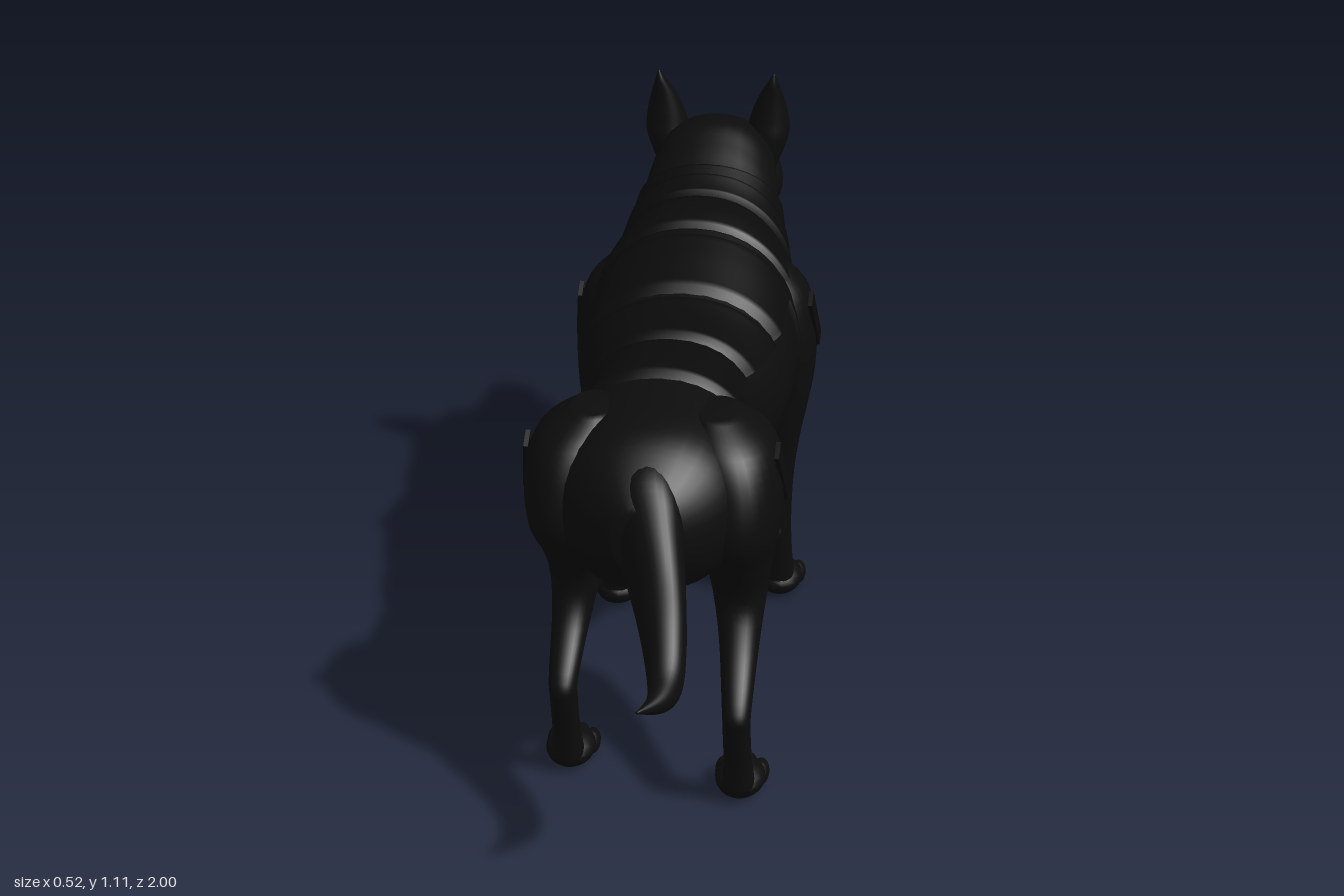
import * as THREE from 'three';

const coat = new THREE.MeshStandardMaterial({ color: 0x0c0c0c });
coat.name = 'black coat';
const gear = new THREE.MeshStandardMaterial({ color: 0x0a0a0a, side: THREE.DoubleSide });
gear.name = 'black harness';

const SEG = 32;

// Catmull-Rom through every column of a ring table
function smooth(rows, sub = 5) {
  const out = [];
  const at = (i) => rows[Math.min(rows.length - 1, Math.max(0, i))];
  for (let i = 0; i < rows.length - 1; i++)
    for (let s = 0; s < sub; s++) {
      const u = s / sub;
      out.push(rows[i].map((p1, k) => {
        const p0 = at(i - 1)[k], p2 = at(i + 1)[k], p3 = at(i + 2)[k];
        return p1 + 0.5 * u * (p2 - p0 + u * (2 * p0 - 5 * p1 + 4 * p2 - p3 + u * (3 * (p1 - p2) + p3 - p0)));
      }));
    }
  out.push(rows[rows.length - 1]);
  return out;
}

// Point on a slightly squared ellipse
function rim(angle, ra, rb) {
  const c = Math.cos(angle), s = Math.sin(angle), e = 0.92;
  return [Math.sign(c) * Math.abs(c) ** e * ra, Math.sign(s) * Math.abs(s) ** e * rb];
}

function geometry(pos, idx) {
  const g = new THREE.BufferGeometry();
  g.setAttribute('position', new THREE.Float32BufferAttribute(pos, 3));
  g.setIndex(idx);
  g.computeVertexNormals();
  return g;
}

// Closed skin over rings [t, a, b, ra, rb]; t runs along z (a=x, b=y) or y (a=x, b=z)
function loft(rows, axis) {
  const rings = smooth(rows), pos = [], idx = [];
  const put = (t, a, b) => (axis === 'z' ? pos.push(a, b, t) : pos.push(a, t, b));
  const tri = (a, b, c) => (axis === 'z' ? idx.push(a, b, c) : idx.push(a, c, b));
  for (const [t, a, b, ra, rb] of rings)
    for (let j = 0; j < SEG; j++) {
      const [u, v] = rim((j / SEG) * Math.PI * 2, ra, rb);
      put(t, a + u, b + v);
    }
  const n = rings.length, first = n * SEG, last = first + 1;
  put(...rings[0].slice(0, 3));
  put(...rings[n - 1].slice(0, 3));
  for (let j = 0; j < SEG; j++) {
    const k = (j + 1) % SEG;
    for (let i = 0; i < n - 1; i++) {
      const p = i * SEG, q = p + SEG;
      tri(p + j, p + k, q + k);
      tri(p + j, q + k, q + j);
    }
    tri(first, k, j);
    tri(last, first - SEG + j, first - SEG + k);
  }
  return geometry(pos, idx);
}

// [z, x, top, bottom, half width] to loft rings
const span = (rows) => rows.map(([z, x, top, bot, w]) => [z, x, (top + bot) / 2, w, (top - bot) / 2]);

const bodyRings = span([
  [-1.0, 0, 0.875, 0.82, 0.035], [-0.985, 0, 0.885, 0.81, 0.052], [-0.93, 0, 0.882, 0.805, 0.06],
  [-0.85, 0, 0.893, 0.795, 0.073], [-0.8, 0, 0.93, 0.78, 0.092], [-0.74, 0, 0.975, 0.77, 0.118],
  [-0.67, 0, 1.005, 0.755, 0.13], [-0.59, 0, 1.017, 0.715, 0.138], [-0.52, 0, 0.99, 0.64, 0.152],
  [-0.45, 0, 0.955, 0.55, 0.168], [-0.37, 0, 0.925, 0.44, 0.19], [-0.27, 0, 0.917, 0.397, 0.212],
  [-0.155, 0, 0.885, 0.41, 0.22], [0.03, 0, 0.832, 0.455, 0.205], [0.18, 0, 0.825, 0.51, 0.165],
  [0.29, 0, 0.828, 0.515, 0.16], [0.42, 0, 0.818, 0.48, 0.19], [0.55, 0, 0.802, 0.475, 0.18],
  [0.63, 0, 0.757, 0.51, 0.13], [0.69, 0, 0.7, 0.58, 0.05],
]);
const bodyTable = smooth(bodyRings, 8);

function bodyAt(z) {
  const i = Math.max(1, bodyTable.findIndex((r) => r[0] >= z));
  const p = bodyTable[i - 1], q = bodyTable[i], u = (z - p[0]) / (q[0] - p[0]);
  return p.map((v, k) => v + (q[k] - v) * u);
}

// Padded cover hugging the body between two z stations; lean slants it with height
function cover(z0, z1, a0, a1, thick, lean = 0) {
  const pos = [], idx = [], rows = 12, cols = 40;
  for (let i = 0; i <= rows; i++)
    for (let j = 0; j <= cols; j++) {
      const angle = a0 + ((a1 - a0) * j) / cols;
      const z = z0 + ((z1 - z0) * i) / rows + lean * Math.sin(angle);
      const edge = i === 0 || i === rows ? -0.004 : thick;
      const [, x, y, w, h] = bodyAt(z);
      const [u, v] = rim(angle, w + edge, h + edge);
      pos.push(x + u, y + v, z);
      if (i < rows && j < cols) {
        const p = i * (cols + 1) + j, q = p + cols + 1;
        idx.push(p, p + 1, q + 1, p, q + 1, q);
      }
    }
  return geometry(pos, idx);
}

export function createModel() {
  const model = new THREE.Group();
  const add = (name, geo, mat = coat, x = 0, y = 0, z = 0, parent = model) => {
    const m = new THREE.Mesh(geo, mat);
    m.name = name;
    m.position.set(x, y, z);
    parent.add(m);
    return m;
  };
  const ball = new THREE.SphereGeometry(1, 18, 12);

  // Trunk, neck and head in one skin, with separate jaw and tail
  add('body', loft(bodyRings, 'z'));
  add('lowerJaw', loft(span([
    [-0.97, 0, 0.762, 0.735, 0.02], [-0.955, 0, 0.77, 0.722, 0.04], [-0.86, 0, 0.774, 0.73, 0.052],
    [-0.78, 0, 0.8, 0.738, 0.072], [-0.68, 0, 0.82, 0.77, 0.08],
  ]), 'z'));
  add('tail', loft(span([
    [0.55, 0, 0.78, 0.6, 0.06], [0.64, 0.01, 0.755, 0.56, 0.068], [0.7, 0.03, 0.7, 0.505, 0.058],
    [0.76, 0.05, 0.63, 0.452, 0.048], [0.82, 0.065, 0.545, 0.418, 0.04], [0.88, 0.072, 0.485, 0.405, 0.032],
    [0.94, 0.065, 0.463, 0.42, 0.02], [1.0, 0.037, 0.457, 0.452, 0.003],
  ]), 'z'));
  add('nose', ball, coat, 0, 0.853, -0.972).scale.set(0.045, 0.036, 0.028);

  for (const side of [1, -1]) {
    const tag = side > 0 ? 'left' : 'right';

    // Ears, eyes, brows, teeth and whiskers
    add(tag + 'Ear', loft([
      [0.9, side * 0.098, -0.665, 0.035, 0.04], [0.96, side * 0.11, -0.67, 0.045, 0.05],
      [1.0, side * 0.113, -0.668, 0.043, 0.045], [1.05, side * 0.117, -0.655, 0.029, 0.03],
      [1.09, side * 0.122, -0.64, 0.012, 0.016], [1.113, side * 0.125, -0.632, 0.002, 0.003],
    ], 'y'));
    add(tag + 'Eye', ball, coat, side * 0.08, 0.905, -0.8).scale.setScalar(0.017);
    add(tag + 'Cheek', ball, coat, side * 0.09, 0.84, -0.72).scale.set(0.05, 0.07, 0.08);
    for (const [z, h, y, flip] of [[-0.955, 0.035, 0.798, 1], [-0.91, 0.02, 0.8, 1], [-0.88, 0.02, 0.797, 1], [-0.94, 0.03, 0.782, 0]])
      add(tag + 'Tooth', new THREE.ConeGeometry(0.006, h, 8), coat, side * 0.035, y, z).rotation.x = flip * Math.PI;
    for (let i = 0; i < 3; i++)
      add(tag + 'Whisker', new THREE.CylinderGeometry(0.0008, 0.0008, 0.06, 4), coat, side * 0.07, 0.835 - i * 0.012, -0.92 - i * 0.015)
        .rotation.z = Math.PI / 2 + side * 0.15;

    // Legs stand in a diagonal stride, so each pair is shifted along z
    const shift = (y, top, fade, amount) => (side > 0 ? 0 : amount * THREE.MathUtils.clamp((top - y) / fade, 0, 1));
    const leg = (name, rows, top, fade, amount) => add(name, loft(rows.map(([y, x, z, a, b]) =>
      [y, side * x, z + shift(y, top, fade, amount), a, b]).reverse(), 'y'));
    leg(tag + 'FrontLeg', [
      [0.83, 0.13, -0.28, 0.04, 0.05], [0.77, 0.155, -0.28, 0.075, 0.095], [0.68, 0.172, -0.29, 0.08, 0.12],
      [0.58, 0.177, -0.295, 0.073, 0.11], [0.5, 0.177, -0.29, 0.06, 0.082], [0.42, 0.172, -0.285, 0.049, 0.057],
      [0.32, 0.17, -0.295, 0.038, 0.04], [0.2, 0.172, -0.31, 0.031, 0.033], [0.1, 0.174, -0.335, 0.031, 0.034],
      [0.03, 0.175, -0.35, 0.035, 0.036],
    ], 0.75, 0.35, 0.085);
    leg(tag + 'HindLeg', [
      [0.8, 0.12, 0.43, 0.04, 0.06], [0.75, 0.147, 0.44, 0.08, 0.12], [0.67, 0.165, 0.445, 0.084, 0.15],
      [0.58, 0.165, 0.445, 0.08, 0.155], [0.5, 0.163, 0.42, 0.068, 0.125], [0.42, 0.165, 0.425, 0.054, 0.078],
      [0.34, 0.17, 0.485, 0.04, 0.052], [0.24, 0.175, 0.58, 0.029, 0.038], [0.19, 0.175, 0.582, 0.027, 0.032],
      [0.1, 0.175, 0.553, 0.028, 0.029], [0.03, 0.175, 0.53, 0.034, 0.034],
    ], 0.6, 0.25, -0.08);

    // Paws with toes and claws
    for (const [name, heel] of [['FrontPaw', -0.34 + shift(0, 1, 1, 0.085)], ['HindPaw', 0.53 + shift(0, 1, 1, -0.08)]]) {
      const paw = new THREE.Group();
      paw.name = tag + name;
      paw.position.set(side * 0.175, 0, heel);
      model.add(paw);
      add('pad', ball, coat, 0, 0.037, -0.03, paw).scale.set(0.05, 0.036, 0.065);
      for (let i = 0; i < 4; i++) {
        const x = -0.037 + i * 0.0247, z = i === 1 || i === 2 ? -0.088 : -0.07;
        add('toe', ball, coat, x, 0.026, z, paw).scale.set(0.017, 0.025, 0.032);
        add('claw', new THREE.ConeGeometry(0.006, 0.03, 8), coat, x, 0.015, z - 0.034, paw).rotation.x = -1.9;
      }
    }
    const dew = -0.325 + shift(0, 1, 1, 0.085);
    add(tag + 'Dewclaw', ball, coat, side * 0.147, 0.13, dew).scale.set(0.014, 0.022, 0.016);
    add(tag + 'WristPad', ball, coat, side * 0.172, 0.185, dew + 0.045).scale.set(0.014, 0.02, 0.014);

    // Loose strap ends over shoulder and hip
    for (const [z, y, x] of [[-0.27, 0.7, 0.249], [0.46, 0.69, 0.246]]) {
      const flap = add(tag + 'StrapEnd', new THREE.BoxGeometry(0.009, 0.13, 0.04), gear, side * x, y, z);
      flap.rotation.set(0.5, 0, side * 0.1);
    }
  }

  // Harness: back panels, girth straps and collar bands
  const up = Math.PI / 2;
  for (const [z0, z1] of [[-0.36, -0.22], [-0.21, -0.02], [-0.01, 0.17], [0.18, 0.36]])
    add('backPanel', cover(z0, z1, up - 1.05, up + 1.05, 0.012), gear);
  add('chestStrap', cover(-0.22, -0.18, 0, Math.PI * 2, 0.008), gear);
  add('loinStrap', cover(0.26, 0.295, 0, Math.PI * 2, 0.01), gear);
  add('collar', cover(-0.53, -0.48, 0, Math.PI * 2, 0.008, 0.07), gear);
  add('neckBand', cover(-0.46, -0.4, 0.1, Math.PI - 0.1, 0.012, 0.03), gear);
  return model;
}
